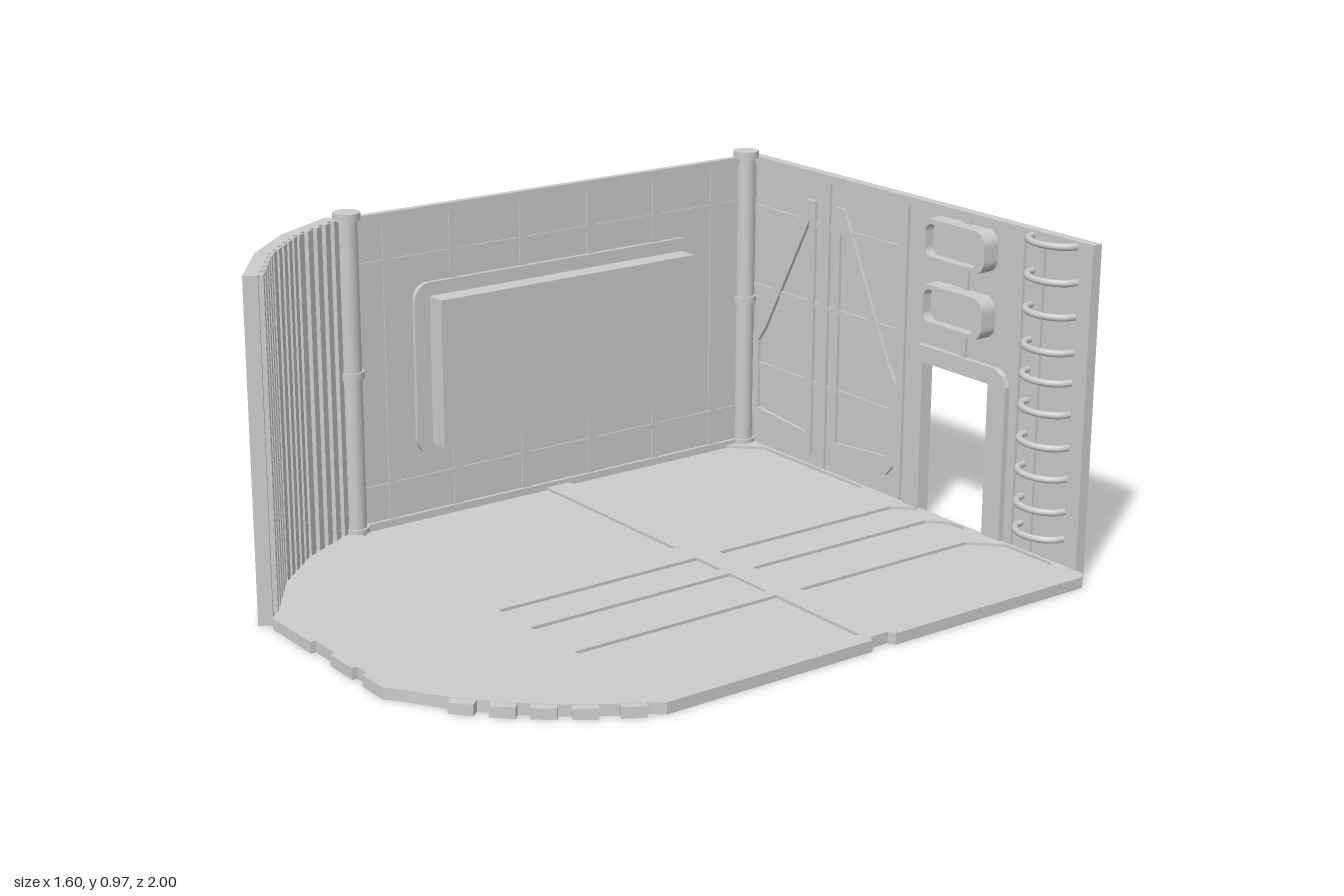
import * as THREE from 'three';

export function createModel() {
  const root = new THREE.Group();
  const mat = new THREE.MeshStandardMaterial({ color: 0xcccccc, flatShading: true, side: THREE.DoubleSide });
  const smooth = new THREE.MeshStandardMaterial({ color: 0xcccccc });

  const group = (name) => {
    const g = new THREE.Group();
    g.name = name;
    root.add(g);
    return g;
  };
  const add = (parent, name, geo, m = mat) => {
    const mesh = new THREE.Mesh(geo, m);
    mesh.name = name;
    parent.add(mesh);
    return mesh;
  };
  // Box given by its limits on each axis
  const box = (parent, name, x0, x1, y0, y1, z0, z1) =>
    add(parent, name, new THREE.BoxGeometry(x1 - x0, y1 - y0, z1 - z0))
      .position.set((x0 + x1) / 2, (y0 + y1) / 2, (z0 + z1) / 2);
  const poly = (pts) => new THREE.Shape(pts.map(([x, y]) => new THREE.Vector2(x, y)));
  // Rectangle with cut corners: b at the low edge, t at the high edge
  const cutRect = (x0, x1, y0, y1, b, t = b) => poly([
    [x0 + b, y0], [x1 - b, y0], [x1, y0 + b], [x1, y1 - t],
    [x1 - t, y1], [x0 + t, y1], [x0, y1 - t], [x0, y0 + b]]);
  const roundRect = (x0, x1, y0, y1, r) => {
    const s = new THREE.Shape();
    s.absarc(x1 - r, y1 - r, r, 0, Math.PI / 2);
    s.absarc(x0 + r, y1 - r, r, Math.PI / 2, Math.PI);
    s.absarc(x0 + r, y0 + r, r, Math.PI, Math.PI * 1.5);
    s.absarc(x1 - r, y0 + r, r, Math.PI * 1.5, Math.PI * 2);
    return s;
  };
  const extrude = (shape, depth, holes = []) => {
    shape.holes.push(...holes);
    return new THREE.ExtrudeGeometry(shape, { depth, bevelEnabled: false, curveSegments: 5 });
  };
  // Plan shape (x, z) extruded down from a top height
  const slab = (shape, top, depth, holes) => extrude(shape, depth, holes).rotateX(Math.PI / 2).translate(0, top, 0);

  // Floor: base plate and a top skin pierced by shallow panels
  const floor = group('floor');
  const outline = () => poly([
    [-0.7, -0.97], [0.78, -0.97], [0.8, -0.95], [0.8, -0.27], [0.78, -0.26], [0.78, -0.2], [0.8, -0.19],
    [0.8, 0.47], [0.775, 0.5], [0.73, 0.58], [0.67, 0.67], [0.58, 0.775], [0.46, 0.88], [0.34, 0.96],
    [0.32, 0.98], [0.22, 0.98], [0.22, 0.965], [0.17, 0.965], [0.17, 0.98], [0.06, 0.98], [0.06, 0.965],
    [-0.04, 0.965], [-0.04, 0.98], [-0.24, 0.98], [-0.27, 0.955], [-0.46, 0.82], [-0.6, 0.66], [-0.7, 0.49]]);
  const columns = [[-0.68, -0.04, 0.09], [0.06, 0.17, 0.05], [0.21, 0.37, 0.05], [0.41, 0.75, 0.08]];
  const panels = [];
  columns.forEach(([x0, x1, cut]) => {
    panels.push(cutRect(x0, x1, -0.96, -0.27, cut, 0), cutRect(x0, x1, -0.19, 0.47, 0));
  });
  add(floor, 'floorBase', slab(outline(), 0.023, 0.023));
  add(floor, 'floorSkin', slab(outline(), 0.032, 0.009, panels));
  // Small teeth along the curved free edge
  [[0.5, 0.865], [0.575, 0.795], [0.64, 0.72], [0.7, 0.64], [0.76, 0.54]].forEach(([x, z], i) => {
    const tooth = add(floor, 'edgeTooth', new THREE.BoxGeometry(0.065, 0.03, 0.03));
    tooth.position.set(x, 0.016, z);
    tooth.rotation.y = 0.7 + i * 0.09;
  });

  // Back wall with doorway
  const back = group('backWall');
  add(back, 'wallPlate', extrude(poly([[-0.72, 0], [0.12, 0], [0.12, 0.48], [0.39, 0.48], [0.39, 0],
    [0.755, 0], [0.755, 0.95], [-0.72, 0.95]]), 0.022).translate(0, 0, -1));
  add(back, 'doorTrim', extrude(poly([[0.055, 0.02], [0.12, 0.02], [0.12, 0.48], [0.39, 0.48], [0.39, 0.02],
    [0.46, 0.02], [0.46, 0.485], [0.445, 0.515], [0.415, 0.53], [0.1, 0.53], [0.07, 0.515], [0.055, 0.485]]), 0.02)
    .translate(0, 0, -0.98));
  // Raised edge strips and ribs
  [[-0.7, -0.67], [-0.355, -0.315], [0.0, 0.03], [0.48, 0.5], [0.735, 0.755]].forEach(([a, b]) =>
    box(back, 'wallRib', a, b, 0.03, 0.95, -0.98, -0.968));
  box(back, 'topRail', -0.7, 0.755, 0.925, 0.95, -0.98, -0.968);
  box(back, 'windowRib', 0.265, 0.285, 0.53, 0.93, -0.98, -0.968);
  [[-0.67, -0.355], [-0.315, 0.0]].forEach(([a, b]) => {
    [0.28, 0.53, 0.78].forEach((y) => box(back, 'crossRib', a, b, y, y + 0.018, -0.98, -0.972));
  });
  // Pair of braced wing plates
  [1, -1].forEach((s) => {
    const pts = [[0.045, 0.06], [0.045, 0.86], [0.085, 0.86], [0.3, 0.43], [0.335, 0.38], [0.335, 0.13], [0.3, 0.09]];
    const inner = [[0.07, 0.13], [0.07, 0.8], [0.27, 0.42], [0.305, 0.37], [0.305, 0.15]];
    const place = (list) => poly(list.map(([x, y]) => [-0.335 + s * x, y]));
    add(back, 'bracedWing', extrude(place(pts), 0.012, [place(inner)]).translate(0, 0, -0.98));
  });

  // Two framed windows
  [0.605, 0.795].forEach((y) => {
    const g = group('wallWindow');
    add(g, 'windowFrame', extrude(roundRect(0.125, 0.39, y, y + 0.122, 0.04), 0.055,
      [roundRect(0.152, 0.362, y + 0.014, y + 0.108, 0.025)]).translate(0, 0, -0.98));
    box(g, 'windowPane', 0.15, 0.365, y + 0.01, y + 0.11, -0.98, -0.955);
  });

  // Ladder of half-hoop rungs
  const ladder = group('ladder');
  const hoop = new THREE.CatmullRomCurve3(Array.from({ length: 9 }, (_, i) => {
    const a = Math.PI * i / 8;
    return new THREE.Vector3(0.612 - 0.082 * Math.cos(a), 0, -0.975 + 0.065 * Math.sin(a));
  }));
  const rung = new THREE.TubeGeometry(hoop, 16, 0.01, 8);
  [0.105, 0.185, 0.28, 0.37, 0.465, 0.555, 0.64, 0.74, 0.835, 0.935].forEach((y) => {
    add(ladder, 'rung', rung, smooth).position.y = y;
  });
  box(ladder, 'ladderRail', 0.56, 0.575, 0.03, 0.94, -0.98, -0.97);

  // Side wall with ribs on both faces
  const side = group('sideWall');
  box(side, 'wallPlate', -0.694, -0.686, 0.02, 0.95, -0.97, 0.47);
  box(side, 'topRail', -0.7, -0.679, 0.925, 0.95, -0.97, 0.47);
  box(side, 'bottomRail', -0.71, -0.675, 0.0, 0.045, -0.97, 0.47);
  [-0.82, -0.6, -0.36, -0.12, 0.12, 0.34].forEach((z) => {
    box(side, 'wallRib', -0.699, -0.681, 0.03, 0.95, z - 0.014, z + 0.014);
  });
  [0.14, 0.8].forEach((y) => box(side, 'crossRib', -0.698, -0.682, y, y + 0.015, -0.95, 0.45));
  add(side, 'screenSurround', extrude(roundRect(-0.74, 0.26, 0.22, 0.73, 0.05), 0.036)
    .rotateY(-Math.PI / 2).translate(-0.672, 0, 0));
  box(side, 'screenBox', -0.8, -0.61, 0.25, 0.69, -0.69, 0.21);

  // Corner posts with cap, collar and foot
  [-0.945, 0.465].forEach((z) => {
    const post = group('cornerPost');
    post.position.set(-0.685, 0, z);
    const ring = (name, r, y0, y1) =>
      add(post, name, new THREE.CylinderGeometry(r, r, y1 - y0, 20), smooth).position.y = (y0 + y1) / 2;
    ring('postShaft', 0.03, 0.01, 0.95);
    ring('postFoot', 0.037, 0.03, 0.045);
    ring('postCollar', 0.037, 0.49, 0.51);
    ring('postCap', 0.039, 0.945, 0.967);
  });

  // Faceted corner wall with vertical slats inside
  const corner = group('curvedWall');
  const outer = [[-0.727, 0.505], [-0.62, 0.705], [-0.48, 0.86], [-0.285, 1.0]];
  const inner = [[-0.265, 0.966], [-0.457, 0.832], [-0.592, 0.683], [-0.695, 0.49]];
  add(corner, 'curvedPlate', slab(poly([...outer, ...inner]), 0.95, 0.95));
  const slats = 5;
  for (let s = 0; s < 3; s++) {
    const [a, b] = [inner[s], inner[s + 1]];
    for (let i = 0; i < slats; i++) {
      const t = (i + 0.5) / slats;
      const slat = add(corner, 'slat', new THREE.BoxGeometry(0.024, 0.92, 0.026));
      slat.position.set(a[0] + (b[0] - a[0]) * t, 0.49, a[1] + (b[1] - a[1]) * t);
      slat.rotation.y = -Math.atan2(b[1] - a[1], b[0] - a[0]);
    }
  }
  return root;
}
